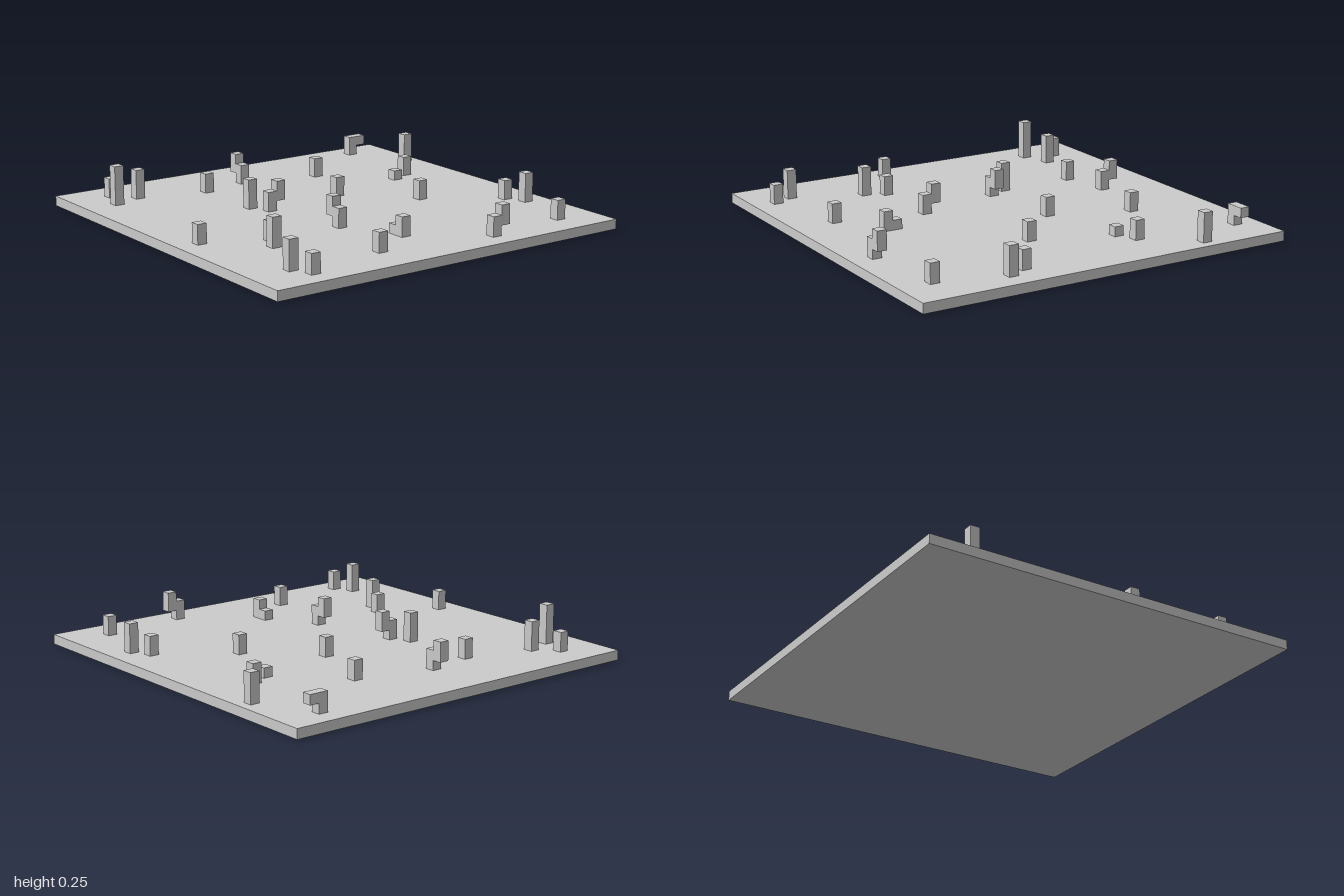
import * as THREE from 'three';

const U = 0.05; // size of one grid cell
const material = new THREE.MeshStandardMaterial({ color: 0xcccccc, flatShading: true });

// Box on grid column (x, z), spanning heights from bottom to top
function addBlock(parent, name, x, z, bottom, top) {
  const mesh = new THREE.Mesh(new THREE.BoxGeometry(U, top - bottom, U), material);
  mesh.name = name;
  mesh.position.set(x, (bottom + top) / 2, z);
  parent.add(mesh);
}

// Free-standing posts: x, z, top height
const posts = [
  [-0.575, -0.925, 0.2], [-0.325, -0.725, 0.15], [-0.275, -0.625, 0.1],
  [0.375, -0.825, 0.15], [0.475, -0.875, 0.2], [0.825, -0.775, 0.15],
  [0.125, -0.475, 0.15], [-0.575, -0.325, 0.15], [-0.175, -0.175, 0.15],
  [-0.225, 0.325, 0.2], [-0.625, 0.325, 0.15], [0.775, 0.275, 0.15],
  [0.325, 0.575, 0.15], [0.425, 0.625, 0.2], [-0.725, 0.675, 0.2],
  [-0.825, 0.775, 0.15], [-0.675, 0.825, 0.25], [0.175, 0.875, 0.15],
  [0.775, 0.775, 0.2], [0.875, 0.725, 0.15],
];

// Posts with a neighbouring block: x, z, side step x, side step z, side bottom, side top
const branched = [
  [-0.875, -0.775, 0, -U, 0.1, 0.15],
  [0.875, -0.325, 0, -U, 0.1, 0.2],
  [-0.675, 0.075, -U, 0, 0.1, 0.2],
  [0.325, 0.175, -U, 0, 0.1, 0.2],
  [-0.125, 0.275, 0, -U, 0.1, 0.2],
  [0.625, 0.025, -U, 0, U, 0.1],
];

export function createModel() {
  const model = new THREE.Group();
  model.name = 'blockField';

  // Ground slab
  const slab = new THREE.Mesh(new THREE.BoxGeometry(2, U, 2), material);
  slab.name = 'groundSlab';
  slab.position.y = U / 2;
  model.add(slab);

  // Single posts
  const postGroup = new THREE.Group();
  postGroup.name = 'posts';
  for (const [x, z, top] of posts) addBlock(postGroup, 'post', x, z, U, top);
  model.add(postGroup);

  // Posts with a side block, some raised clear of the slab
  for (const [x, z, dx, dz, bottom, top] of branched) {
    const group = new THREE.Group();
    group.name = 'branchedPost';
    addBlock(group, 'stem', x, z, U, 0.15);
    addBlock(group, 'sideBlock', x + dx, z + dz, bottom, top);
    model.add(group);
  }
  return model;
}
